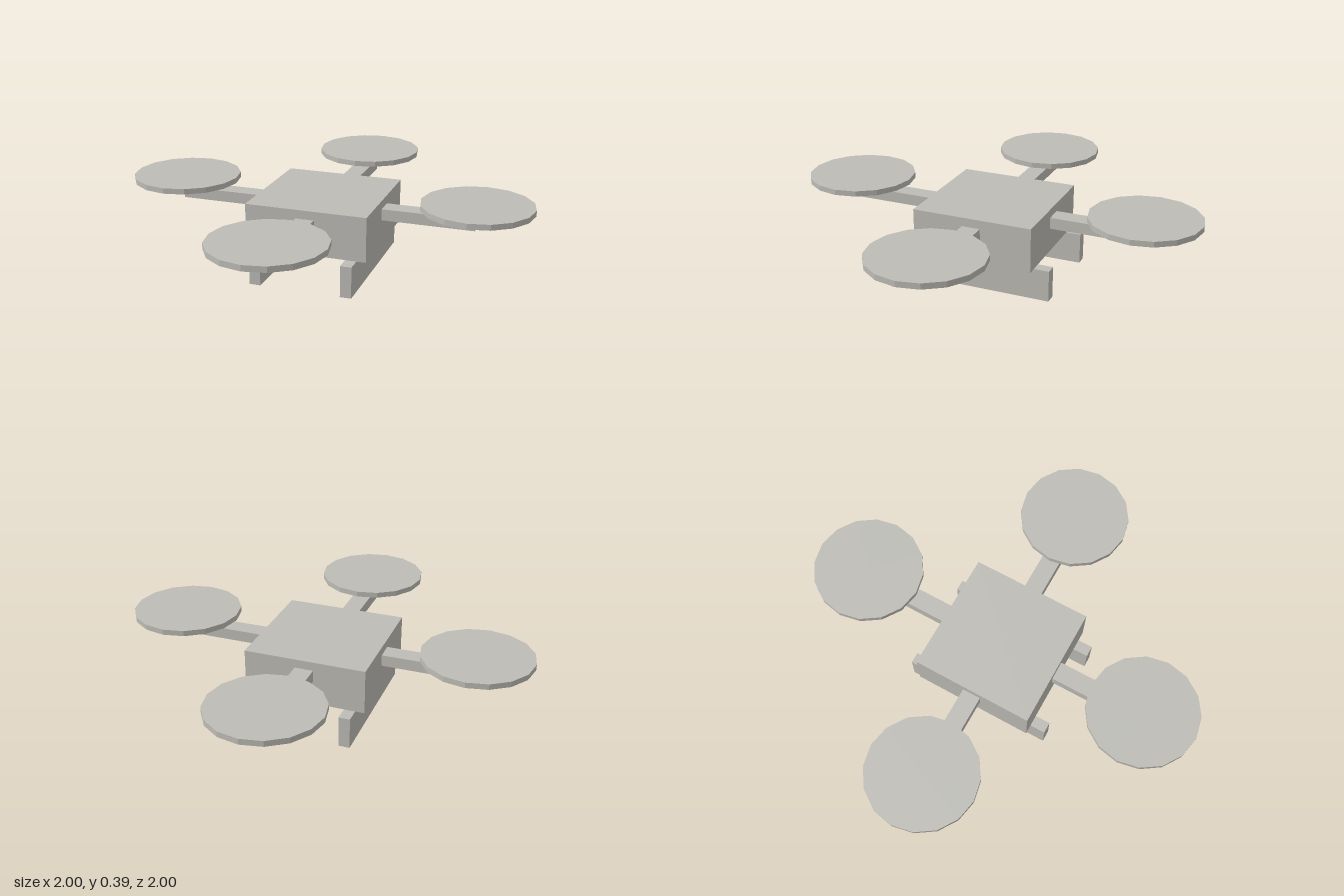
import * as THREE from 'three';

export function createModel() {
  const model = new THREE.Group();
  model.name = 'quadcopter';
  const grey = new THREE.MeshStandardMaterial({ color: 0xbdbcb6, flatShading: true });
  grey.name = 'warm grey';

  function add(parent, name, geometry, x, y, z) {
    const mesh = new THREE.Mesh(geometry, grey);
    mesh.name = name;
    mesh.position.set(x, y, z);
    parent.add(mesh);
  }

  // Central body
  add(model, 'body', new THREE.BoxGeometry(0.587, 0.215, 0.587), 0, 0.26, 0);

  // Four arms, each with a rotor disc hovering above its tip
  const armGeometry = new THREE.BoxGeometry(0.445, 0.055, 0.09);
  const rotorGeometry = new THREE.CylinderGeometry(0.265, 0.265, 0.027, 16);
  ['right', 'back', 'left', 'front'].forEach((side, i) => {
    const unit = new THREE.Group();
    unit.name = side + 'ArmUnit';
    add(unit, side + 'Arm', armGeometry, 0.5125, 0.298, 0);
    add(unit, side + 'Rotor', rotorGeometry, 0.735, 0.372, 0);
    // the model's own left is +x
    unit.rotation.y = Math.PI + i * -Math.PI / 2;
    model.add(unit);
  });

  // Two landing skids running front to back
  const skidGeometry = new THREE.BoxGeometry(0.054, 0.1525, 0.735);
  add(model, 'leftSkid', skidGeometry, 0.222, 0.07625, 0);
  add(model, 'rightSkid', skidGeometry, -0.222, 0.07625, 0);

  return model;
}
